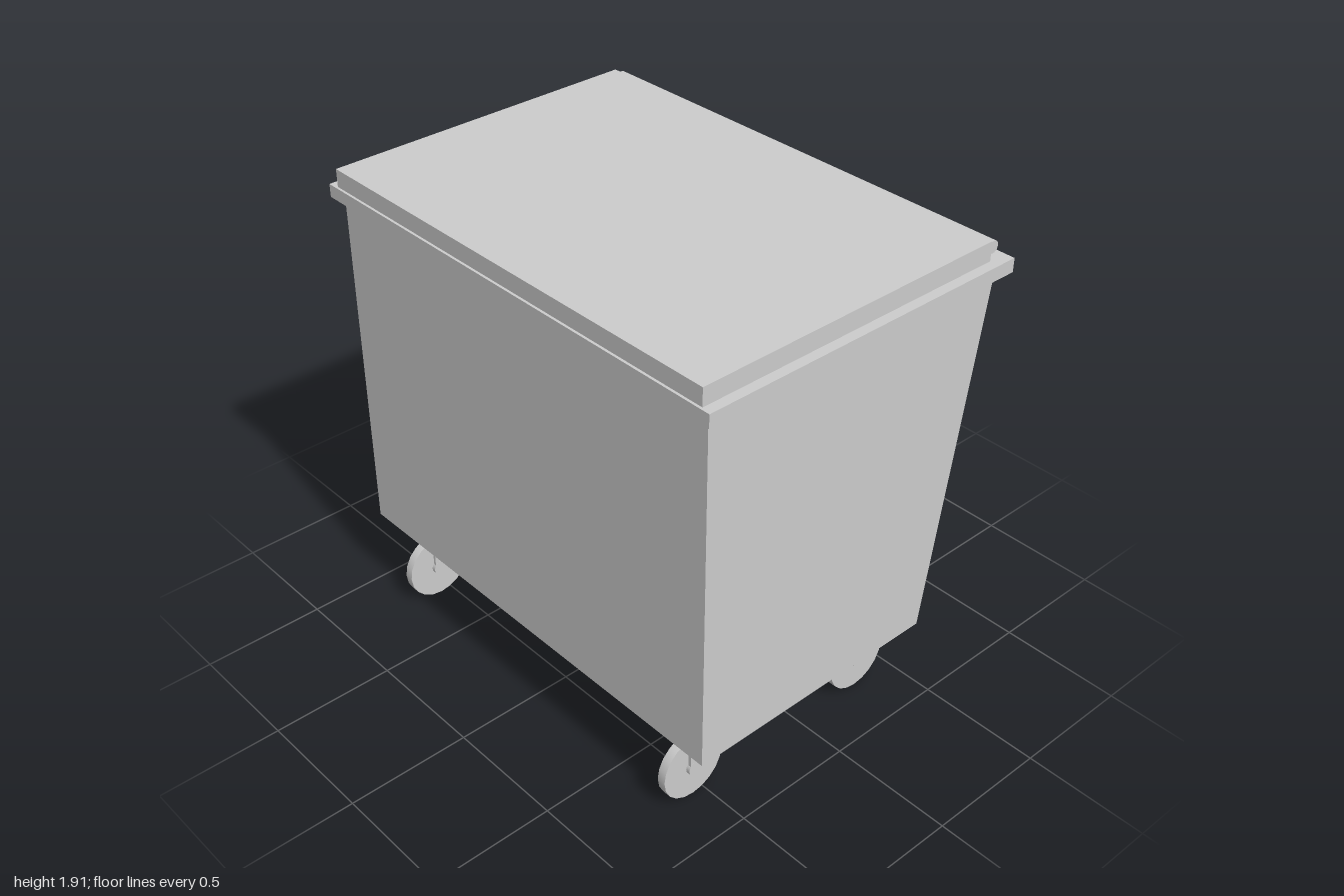
import * as THREE from 'three';
import { toCreasedNormals } from 'three/addons/utils/BufferGeometryUtils.js';

const material = new THREE.MeshStandardMaterial({ color: 0xcccccc });

function add(parent, name, geometry, x = 0, y = 0, z = 0) {
  const mesh = new THREE.Mesh(geometry, material);
  mesh.name = name;
  mesh.position.set(x, y, z);
  parent.add(mesh);
  return mesh;
}

// Side outline in x/y, extruded along z and centred on z = 0
function prism(points, depth) {
  const shape = new THREE.Shape(points.map(([x, y]) => new THREE.Vector2(x, y)));
  return new THREE.ExtrudeGeometry(shape, { depth, bevelEnabled: false }).translate(0, 0, -depth / 2);
}

// Cylinder lying along z
function rod(radius, length, sides) {
  const geometry = new THREE.CylinderGeometry(radius, radius, length, sides).rotateX(Math.PI / 2);
  return toCreasedNormals(geometry, Math.PI / 5);
}

// Wheel held between two thin fork plates, with the axle at the origin
function createCaster() {
  const caster = new THREE.Group();
  caster.name = 'caster';
  add(caster, 'wheel', rod(0.14, 0.036, 20));
  add(caster, 'axle', rod(0.035, 0.05, 16));
  for (const side of [-1, 1]) {
    add(caster, 'forkPlate', new THREE.BoxGeometry(0.055, 0.21, 0.012), 0, 0.105, side * 0.028);
    add(caster, 'forkEnd', rod(0.035, 0.014, 16), 0, 0, side * 0.028);
  }
  return caster;
}

export function createModel() {
  const model = new THREE.Group();
  model.name = 'wheeledBin';

  // Body with one sloping wall
  add(model, 'body', prism([[-0.675, 0.35], [0.435, 0.35], [0.66, 1.8], [-0.675, 1.8]], 1.92));

  // Overhanging rim, dropping slightly towards the hinge side
  add(model, 'rim', prism([[-0.71, 1.792], [0.705, 1.783], [0.705, 1.838], [-0.71, 1.844]], 2));

  // Lid
  add(model, 'lid', prism([[-0.7, 1.842], [0.625, 1.835], [0.625, 1.915], [-0.7, 1.915]], 1.92));

  // Hinge rod and its end tabs
  add(model, 'hingeRod', rod(0.024, 1.9, 20), 0.648, 1.88, 0);
  for (const side of [-1, 1]) {
    add(model, 'hingeTab', new THREE.BoxGeometry(0.03, 0.04, 0.02), 0.635, 1.86, side * 0.93);
  }

  // Four casters
  for (const x of [-0.55, 0.31]) {
    for (const z of [-0.768, 0.768]) {
      const caster = createCaster();
      caster.position.set(x, 0.14, z);
      model.add(caster);
    }
  }
  return model;
}
